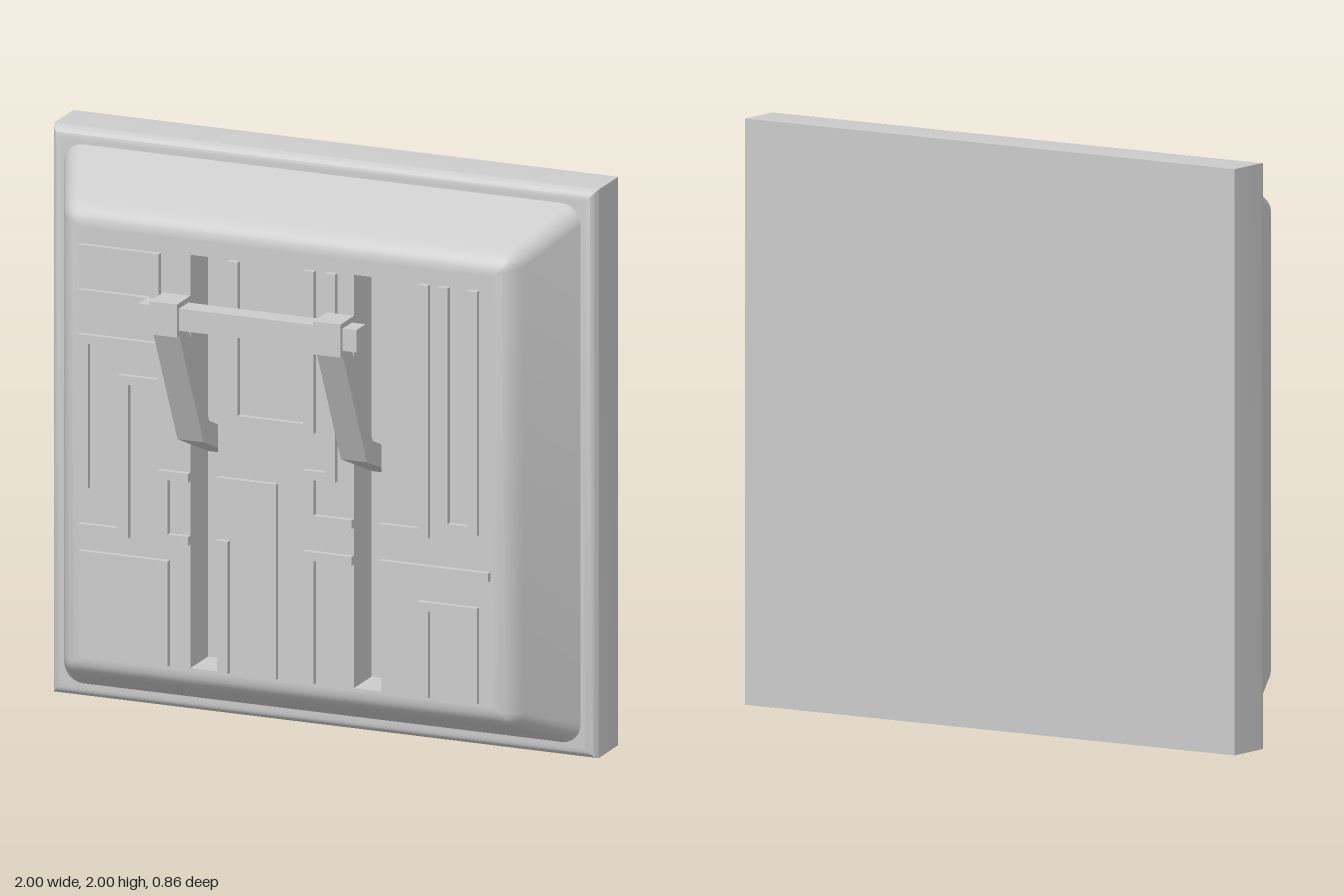
import * as THREE from 'three';
import { toCreasedNormals } from 'three/addons/utils/BufferGeometryUtils.js';

const CY = 1;            // height of the panel centre
const FACE = 0.08;       // z of the raised front face
const FLOOR = -0.07;     // z of the slot floors
const SLOT = { x: 0.3, half: 0.051, y0: 0.252, y1: 1.706 };

const material = new THREE.MeshStandardMaterial({ color: 0xcccccc });

function add(parent, name, geometry, x = 0, y = 0, z = 0) {
  const mesh = new THREE.Mesh(geometry, material);
  mesh.name = name;
  mesh.position.set(x, y, z);
  parent.add(mesh);
  return mesh;
}

// Points of a rounded square, counter-clockwise seen from the front
function squareLoop(half, r, steps = 6) {
  const pts = [];
  for (let c = 0; c < 4; c++) {
    const mid = Math.PI / 4 + c * Math.PI / 2;
    const cx = Math.sign(Math.cos(mid)) * (half - r);
    const cy = Math.sign(Math.sin(mid)) * (half - r);
    for (let i = 0; i <= steps; i++) {
      const a = (c + i / steps) * Math.PI / 2;
      pts.push([cx + r * Math.cos(a), cy + r * Math.sin(a)]);
    }
  }
  return pts;
}

// Skin through square rings given as [half size, z, corner radius]
function loft(rings) {
  const pos = [], index = [];
  let n = 0;
  for (const [half, z, r] of rings) {
    const loop = squareLoop(half, r);
    n = loop.length;
    for (const [x, y] of loop) pos.push(x, y, z);
  }
  for (let i = 0; i < rings.length - 1; i++) {
    for (let j = 0; j < n; j++) {
      const a = i * n + j, b = i * n + (j + 1) % n;
      index.push(a, b, b + n, a, b + n, a + n);
    }
  }
  const geo = new THREE.BufferGeometry();
  geo.setAttribute('position', new THREE.Float32BufferAttribute(pos, 3));
  geo.setIndex(index);
  return toCreasedNormals(geo, 0.6);
}

function rectPath(x0, y0, x1, y1, Type = THREE.Shape) {
  return new Type([[x0, y0], [x1, y0], [x1, y1], [x0, y1]].map(p => new THREE.Vector2(...p)));
}

// Square back plate with a rounded front edge
function buildPlate(group) {
  const rings = [[0, -0.43, 0], [1, -0.43, 0]];
  for (let i = 0; i <= 6; i++) {
    const a = i / 6 * Math.PI / 2;
    rings.push([0.96 + 0.04 * Math.cos(a), -0.27 + 0.04 * Math.sin(a), 0]);
  }
  rings.push([0.85, -0.23, 0]);
  add(group, 'backPlate', loft(rings), 0, CY, 0);
}

// Tapered raised panel with soft edges and two slots
function buildPanel(group) {
  const rings = [[0.948, -0.23, 0.07]];
  for (let i = 0; i <= 8; i++) {
    const t = i / 8, u = 1 - t;
    rings.push([
      u * u * 0.845 + 2 * u * t * 0.814 + t * t * 0.76,
      u * u * 0.008 + 2 * u * t * FACE + t * t * FACE,
      0.06 * u,
    ]);
  }
  add(group, 'raisedPanelSides', loft(rings), 0, CY, 0);

  const face = rectPath(-0.76, CY - 0.76, 0.76, CY + 0.76);
  for (const s of [-1, 1]) {
    const x = s * SLOT.x;
    face.holes.push(rectPath(x - SLOT.half, SLOT.y0, x + SLOT.half, SLOT.y1, THREE.Path));
    add(group, 'slotFloor',
      new THREE.BoxGeometry(SLOT.half * 2 + 0.02, SLOT.y1 - SLOT.y0 + 0.02, 0.02),
      x, (SLOT.y0 + SLOT.y1) / 2, FLOOR - 0.01);
  }
  const slab = new THREE.ExtrudeGeometry(face, { depth: FACE - FLOOR, bevelEnabled: false });
  add(group, 'raisedPanelFace', slab, 0, 0, FLOOR);
}

// Raised angular tracks on the front face, interrupted by the slots
const TRACKS = [
  [[-0.755, 1.685], [-0.478, 1.685], [-0.478, 1.527], [-0.755, 1.527]],
  [[-0.738, 0.845], [-0.738, 1.37], [-0.445, 1.37], [-0.445, 1.243], [-0.59, 1.243], [-0.59, 0.703], [-0.755, 0.703]],
  [[-0.755, 0.608], [-0.445, 0.608], [-0.445, 0.253]],
  [[-0.048, 0.253], [-0.048, 0.925], [-0.445, 0.925], [-0.445, 0.703], [-0.225, 0.703], [-0.225, 0.253]],
  [[-0.188, 1.705], [-0.188, 1.15], [0.09, 1.15], [0.09, 1.705]],
  [[0.17, 1.705], [0.17, 0.988], [0.09, 0.988], [0.09, 0.832], [0.51, 0.832], [0.51, 1.705]],
  [[0.583, 1.705], [0.583, 0.86], [0.69, 0.86], [0.69, 1.705]],
  [[0.09, 0.253], [0.09, 0.703], [0.75, 0.703]],
  [[0.51, 0.253], [0.51, 0.575], [0.69, 0.575], [0.69, 0.253]],
];

function buildTracks(group) {
  const tracks = new THREE.Group();
  tracks.name = 'tracks';
  group.add(tracks);
  const wx = 0.038, wy = 0.031, height = 0.02;
  const bar = (x0, x1, y0, y1) => add(tracks, 'track',
    new THREE.BoxGeometry(x1 - x0, y1 - y0, height),
    (x0 + x1) / 2, (y0 + y1) / 2, FACE + height / 2);

  for (const path of TRACKS) {
    for (let i = 0; i < path.length - 1; i++) {
      const ends = [
        { p: path[i], joint: i > 0 },
        { p: path[i + 1], joint: i < path.length - 2 },
      ];
      const horizontal = ends[0].p[1] === ends[1].p[1];
      const axis = horizontal ? 0 : 1;
      ends.sort((a, b) => a.p[axis] - b.p[axis]);
      const [a, b] = ends;
      // Horizontal bars own the corners, vertical bars stop short of them
      const grow = horizontal ? wx / 2 : -wy / 2;
      const lo = a.p[axis] - (a.joint ? grow : 0);
      const hi = b.p[axis] + (b.joint ? grow : 0);
      if (!horizontal) {
        bar(a.p[0] - wx / 2, a.p[0] + wx / 2, lo, hi);
        continue;
      }
      let start = lo;
      for (const s of [-1, 1]) {
        const left = s * SLOT.x - SLOT.half, right = s * SLOT.x + SLOT.half;
        if (start < left && hi > right) {
          bar(start, left, a.p[1] - wy / 2, a.p[1] + wy / 2);
          start = right;
        }
      }
      bar(start, hi, a.p[1] - wy / 2, a.p[1] + wy / 2);
    }
  }
}

// Handle: two bent arms rising out of the slots, joined by a square bar
function buildHandle(group) {
  const handle = new THREE.Group();
  handle.name = 'handle';
  group.add(handle);
  const width = 0.096;
  const profile = new THREE.Shape([
    [FLOOR, 0.975], [0.198, 1.09], [0.41, 1.53], [0.33, 1.53], [0.15, 1.153], [FLOOR, 1.055],
  ].map(([z, y]) => new THREE.Vector2(-z, y)));

  for (const s of [-1, 1]) {
    const arm = new THREE.ExtrudeGeometry(profile, { depth: width, bevelEnabled: false });
    arm.translate(0, 0, -width / 2);
    arm.rotateY(Math.PI / 2);
    add(handle, 'handleArm', arm, s * SLOT.x, 0, 0);
    add(handle, 'barClamp', new THREE.BoxGeometry(0.1, 0.116, 0.116), s * SLOT.x, 1.58, 0.372);
  }
  add(handle, 'handleBar', new THREE.BoxGeometry(0.8, 0.078, 0.078), 0, 1.58, 0.372);
}

export function createModel() {
  const group = new THREE.Group();
  group.name = 'panelWithHandle';
  buildPlate(group);
  buildPanel(group);
  buildTracks(group);
  buildHandle(group);
  return group;
}
